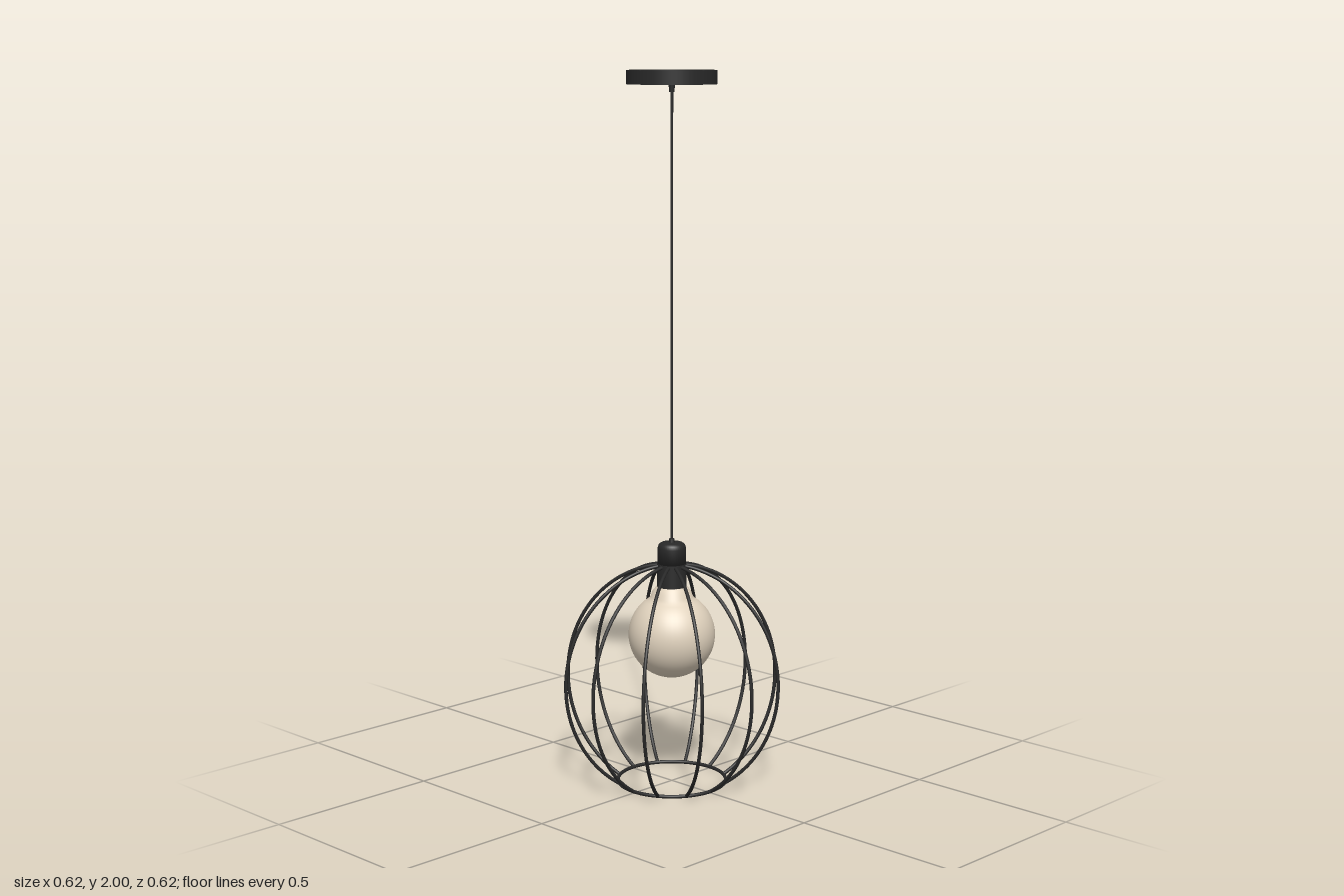
import * as THREE from 'three';

const black = new THREE.MeshStandardMaterial({ color: 0x292929 });
black.name = 'matte black metal';
const cream = new THREE.MeshStandardMaterial({ color: 0xe0d2bd });
cream.name = 'warm bulb glass';

const WIRE = 0.005, RIBS = 12;
const CAGE_Y = 0.296, CAGE_RX = 0.307, CAGE_RY = 0.336;

function add(parent, name, geometry, material, y = 0) {
  const mesh = new THREE.Mesh(geometry, material);
  mesh.name = name;
  mesh.position.y = y;
  parent.add(mesh);
  return mesh;
}

// Solid of revolution from [radius, height] pairs, listed bottom to top
function lathe(points, segments = 40) {
  return new THREE.LatheGeometry(points.map(([r, y]) => new THREE.Vector2(r, y)), segments);
}

export function createModel() {
  const model = new THREE.Group();
  model.name = 'pendantLamp';

  // Ceiling canopy: a shallow cup, open at the top; doubled points keep its edges sharp
  add(model, 'canopy', lathe([
    [0, 1.962], [0.123, 1.962], [0.123, 1.962], [0.123, 2], [0.123, 2], [0.12, 2],
    [0.12, 2], [0.12, 1.966], [0.12, 1.966], [0, 1.966],
  ], 64), black);
  add(model, 'canopyGrip', new THREE.CylinderGeometry(0.009, 0.007, 0.022, 16), black, 1.952);
  add(model, 'cord', new THREE.CylinderGeometry(0.004, 0.004, 1.26, 10), black, 1.33);

  // Socket: lower sleeve and a rounded cap above the seam
  add(model, 'socketSleeve', new THREE.CylinderGeometry(0.041, 0.042, 0.07, 40), black, 0.601);
  add(model, 'socketCap', lathe([
    [0, 0.636], [0.04, 0.636], [0.04, 0.68], [0.037, 0.69], [0.03, 0.695], [0, 0.697],
  ]), black);
  add(model, 'socketGrip', new THREE.CylinderGeometry(0.007, 0.009, 0.012, 16), black, 0.701);

  // Globe bulb with a short, wide neck
  const R = 0.122, bulbY = 0.431, profile = [];
  for (let i = 0; i <= 28; i++) {
    const a = -Math.PI / 2 + (i / 28) * (Math.PI / 2 + 1.0);
    profile.push([Math.max(0, R * Math.cos(a)), bulbY + R * Math.sin(a)]);
  }
  profile.push([0.059, 0.542], [0.055, 0.555], [0.047, 0.565], [0.038, 0.575]);
  add(model, 'bulb', lathe(profile, 48), cream);

  // Wire cage: elliptical ribs gathered at the socket and tied by a bottom ring
  const cage = new THREE.Group();
  cage.name = 'cage';
  model.add(cage);
  const start = Math.asin((WIRE - CAGE_Y) / CAGE_RY);
  const points = [];
  for (let i = 0; i <= 24; i++) {
    const a = start + (i / 24) * (Math.PI / 2 - start);
    points.push(new THREE.Vector3(CAGE_RX * Math.cos(a), CAGE_Y + CAGE_RY * Math.sin(a), 0));
  }
  const ribGeometry = new THREE.TubeGeometry(new THREE.CatmullRomCurve3(points), 56, WIRE, 10);
  for (let i = 0; i < RIBS; i++) {
    add(cage, 'rib' + (i + 1), ribGeometry, black).rotation.y = (i / RIBS) * Math.PI * 2;
  }
  const ring = new THREE.TorusGeometry(points[0].x, WIRE, 10, 72).rotateX(Math.PI / 2);
  add(cage, 'bottomRing', ring, black, WIRE);

  return model;
}
